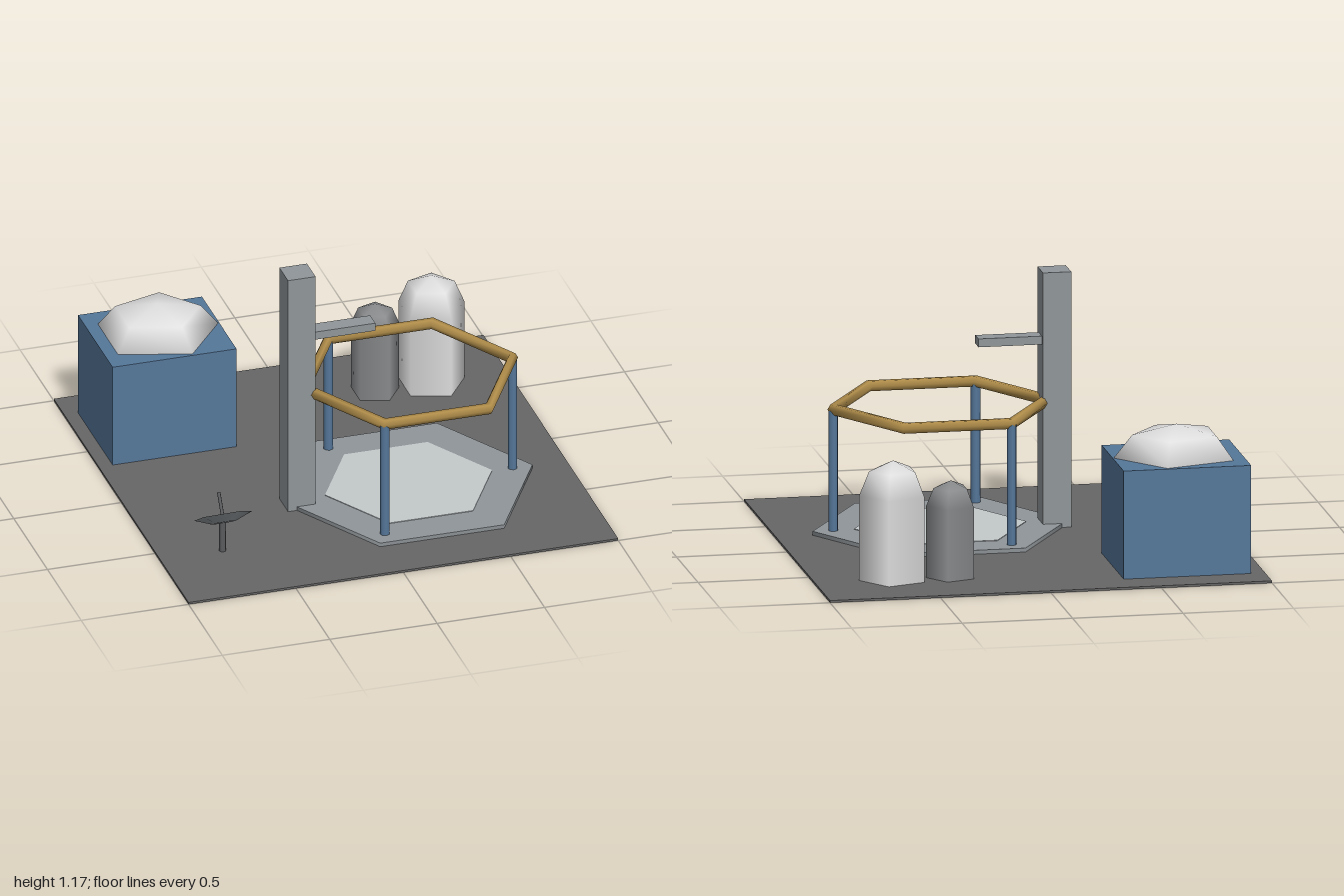
import * as THREE from 'three';

const material = (name, color) => {
  const m = new THREE.MeshStandardMaterial({ color });
  m.name = name;
  return m;
};

export function createModel() {
  const model = new THREE.Group();
  const mats = {
    ground: material('groundGrey', 0x666666),
    steel: material('steelGrey', 0x90969a),
    pale: material('paleGrey', 0xc4c9cb),
    blue: material('blue', 0x55779a),
    gold: material('gold', 0xb08d4a),
    white: material('white', 0xe0e0e0),
    tank: material('tankGrey', 0x8a8c8e),
    dark: material('darkGrey', 0x5c5e60),
  };

  const add = (name, geometry, mat, x, y, z, parent = model) => {
    const mesh = new THREE.Mesh(geometry, mat);
    mesh.name = name;
    mesh.position.set(x, y, z);
    parent.add(mesh);
    return mesh;
  };
  const box = (w, h, d) => new THREE.BoxGeometry(w, h, d);
  // Prism with a corner pointing to +x
  const prism = (rTop, rBottom, h, sides, open = false) =>
    new THREE.CylinderGeometry(rTop, rBottom, h, sides, 1, open, Math.PI / 2);
  // Five-sided half sphere with a corner pointing to +x
  const dome = (r) => new THREE.SphereGeometry(r, 5, 2, Math.PI, Math.PI * 2, 0, Math.PI / 2);

  const floor = 0.01;
  add('ground', box(2, floor, 2), mats.ground, 0, floor / 2, 0);

  // Landing pad
  const cx = 0.257, cz = 0.257;
  add('landingPad', prism(0.577, 0.577, 0.018, 6), mats.steel, cx, 0.019, cz);
  add('padCentre', prism(0.389, 0.389, 0.006, 6), mats.pale, cx, 0.028, cz);

  // Raised ring on three posts
  const ringR = 0.484, ringY = 0.58;
  const ring = new THREE.TorusGeometry(ringR, 0.026, 6, 6).rotateX(Math.PI / 2);
  add('ring', ring, mats.gold, cx, ringY, cz);
  for (let i = 0; i < 3; i++) {
    const a = (i * Math.PI * 2) / 3;
    add('ringPost', prism(0.022, 0.022, ringY - floor, 8), mats.blue,
      cx + ringR * Math.cos(a), (ringY + floor) / 2, cz + ringR * Math.sin(a));
  }

  // Tower with its arm
  add('tower', box(0.128, 1.165, 0.128), mats.steel, -0.26, 0.5925, cz);
  add('towerArm', box(0.31, 0.038, 0.077), mats.steel, -0.064, 0.862, cz);

  // Domed building
  add('building', box(0.577, 0.493, 0.513), mats.blue, -0.648, 0.2565, -0.586);
  add('buildingDome', dome(1), mats.white, -0.648, 0.503, -0.586).scale.set(0.284, 0.144, 0.256);

  // Storage tanks
  const addTank = (name, r, shoulder, x, z, mat) => {
    const tank = new THREE.Group();
    tank.name = name;
    tank.position.set(x, 0, z);
    add('tankBody', prism(r, r, shoulder - floor, 5), mat, 0, (shoulder + floor) / 2, 0, tank);
    add('tankDome', dome(r), mat, 0, shoulder, 0, tank);
    model.add(tank);
  };
  addTank('largeTank', 0.154, 0.397, 0.645, -0.643, mats.white);
  addTank('smallTank', 0.112, 0.337, 0.384, -0.645, mats.tank);

  // Tilted dish on a short mast
  const dx = -0.71, dz = 0.58;
  add('dishMast', prism(0.016, 0.016, 0.15, 6), mats.dark, dx, 0.085, dz);
  const dish = new THREE.Group();
  dish.name = 'dish';
  dish.position.set(dx, 0.186, dz);
  dish.rotation.x = -0.575;
  add('dishBowl', prism(0.137, 0.055, 0.032, 5), mats.steel, 0, -0.016, 0, dish);
  add('dishFeed', prism(0.008, 0.008, 0.11, 6), mats.dark, 0, 0.05, 0, dish);
  model.add(dish);

  return model;
}
